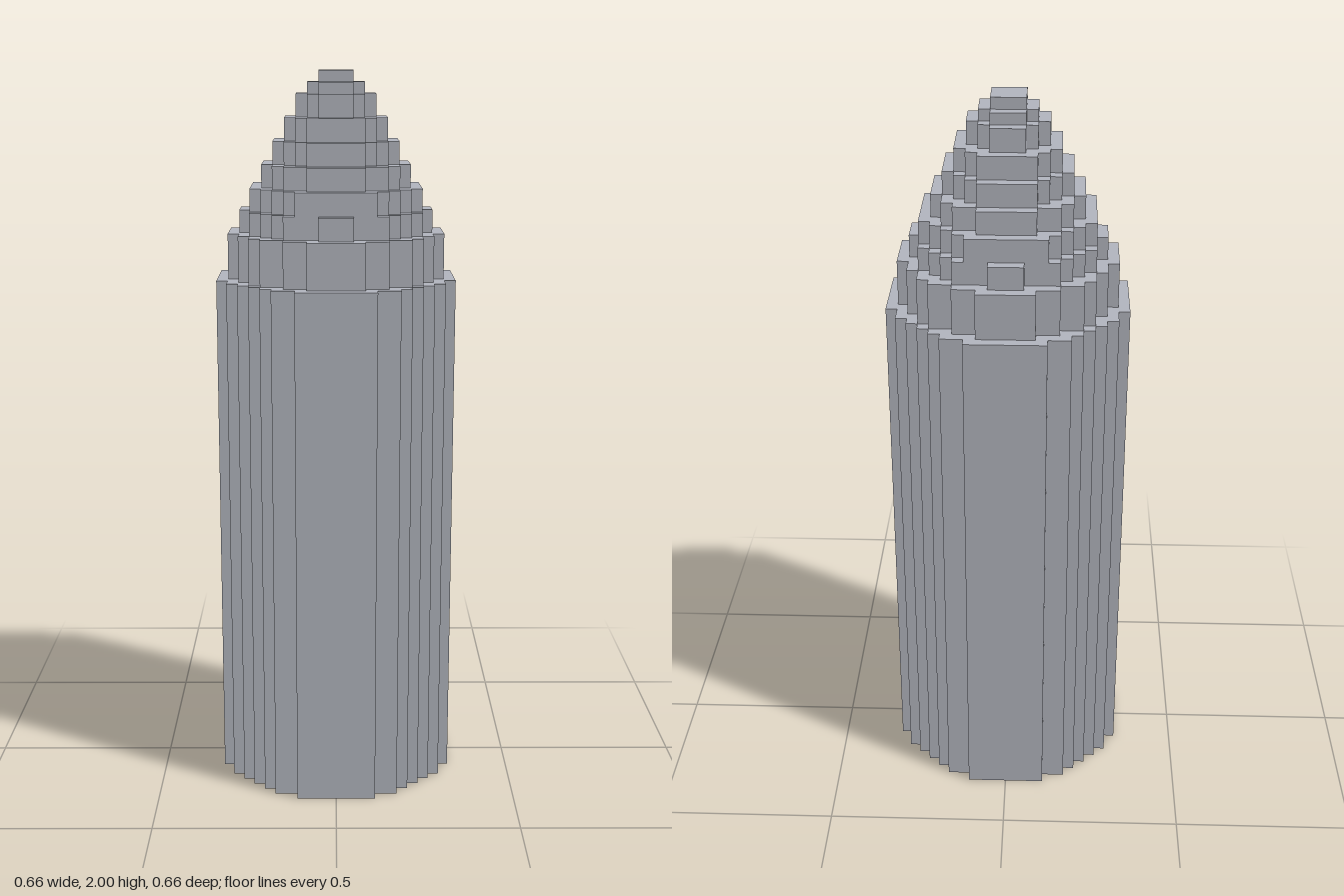
import * as THREE from 'three';

const UNIT = 2 / 64; // edge of one block

// Stepped outline of a disc made of square blocks
function discOutline(radius) {
  const rows = Math.floor(radius);
  const width = (k) => Math.floor(Math.sqrt(radius * radius - k * k)) + 0.5;
  const right = [];
  for (let k = -rows; k <= rows; k++) {
    const w = width(k);
    if (k === -rows || w !== width(k - 1)) right.push([w, k - 0.5]);
    if (k === rows || w !== width(k + 1)) right.push([w, k + 0.5]);
  }
  const left = right.map(([x, y]) => [-x, y]).reverse();
  return [...right, ...left].map(([x, y]) => new THREE.Vector2(x * UNIT, y * UNIT));
}

// One upright tier between two block layers, hollow when inner > 0
function tier(name, from, to, outer, inner, material) {
  const shape = new THREE.Shape(discOutline(outer));
  if (inner > 0) shape.holes.push(new THREE.Path(discOutline(inner)));
  const geometry = new THREE.ExtrudeGeometry(shape, { depth: (to - from) * UNIT, bevelEnabled: false });
  geometry.rotateX(-Math.PI / 2).translate(0, from * UNIT, 0);
  const mesh = new THREE.Mesh(geometry, material);
  mesh.name = name;
  return mesh;
}

export function createModel() {
  const model = new THREE.Group();
  model.name = 'steppedCapsule';
  const grey = new THREE.MeshStandardMaterial({ color: 0xb3b6bf });
  grey.name = 'pale grey';

  // Long hollow barrel
  model.add(tier('barrel', 0, 46, 10.5, 8.15, grey));

  // Stepped nose: start layer, end layer, outer and inner radius in blocks
  const nose = new THREE.Group();
  nose.name = 'nose';
  const steps = [
    [46, 50, 9.4, 7.1],
    [50, 52, 8.15, 6.1],
    [52, 54, 7.65, 5.3],
    [54, 56, 6.5, 4.3],
    [56, 58, 5.5, 3.2],
    [58, 60, 4.5, 2.3],
    [60, 62, 3.45, 0],
    [62, 63, 2.5, 0],
    [63, 64, 1.5, 0],
  ];
  steps.forEach(([from, to, outer, inner], i) => {
    nose.add(tier(`noseStep${i + 1}`, from, to, outer, inner, grey));
  });
  model.add(nose);
  return model;
}
